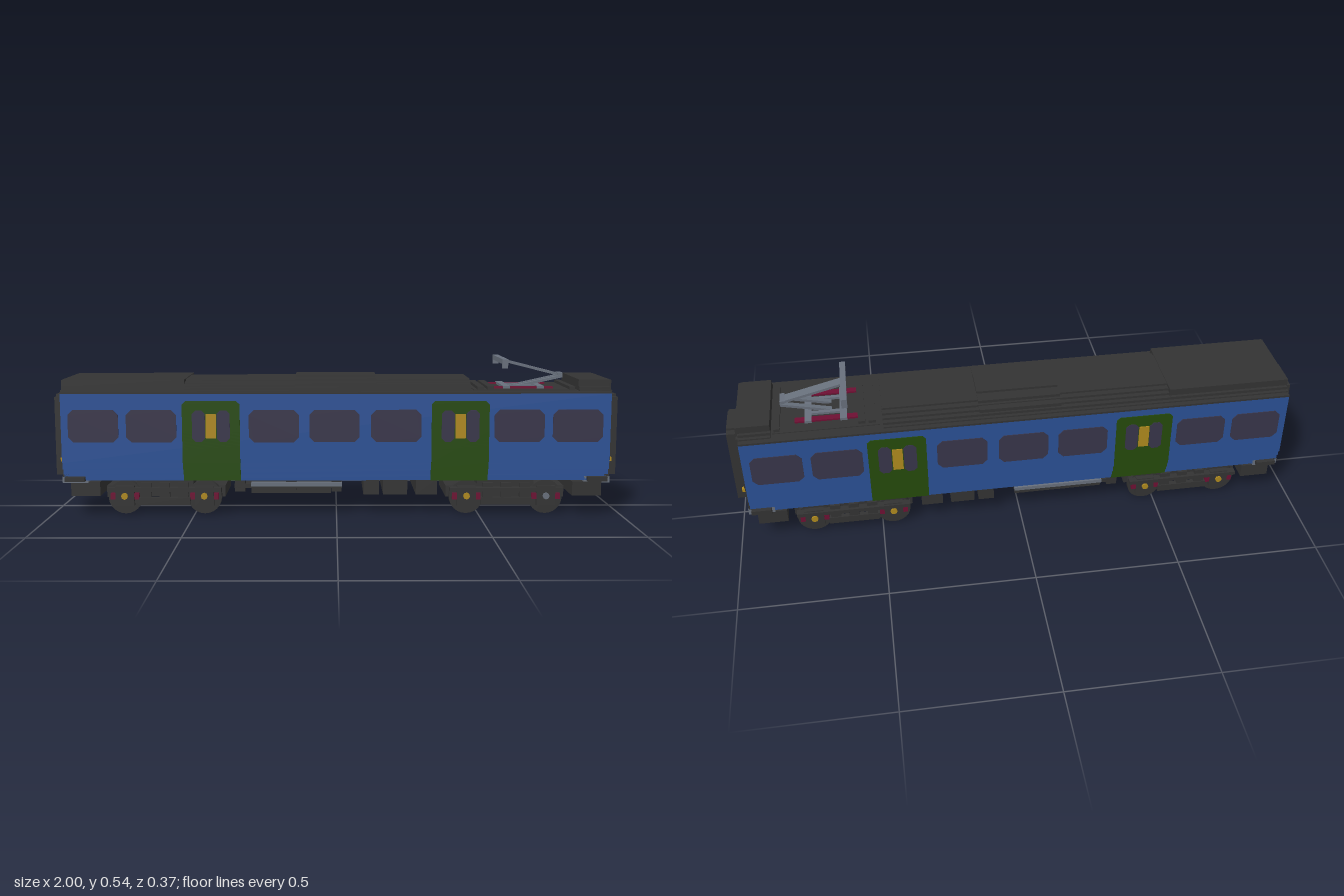
import * as THREE from 'three';

const mat = (name, color) => {
  const m = new THREE.MeshStandardMaterial({ color });
  m.name = name;
  return m;
};

export function createModel() {
  const blue = mat('blue', 0x2b5196), dark = mat('charcoal', 0x333333), green = mat('green', 0x254a0c);
  const glass = mat('glass', 0x38354a), yellow = mat('yellow', 0xb08a1e), grey = mat('grey', 0x68707c);
  const red = mat('red', 0x6e1033);
  const model = new THREE.Group();
  model.name = 'railCar';

  const add = (name, geo, m, x = 0, y = 0, z = 0, parent = model) => {
    const mesh = new THREE.Mesh(geo, m);
    mesh.name = name;
    mesh.position.set(x, y, z);
    parent.add(mesh);
    return mesh;
  };
  // Box given by its limits
  const box = (name, m, x0, x1, y0, y1, z0, z1, parent) =>
    add(name, new THREE.BoxGeometry(x1 - x0, y1 - y0, z1 - z0), m,
      (x0 + x1) / 2, (y0 + y1) / 2, (z0 + z1) / 2, parent);
  // The same box on both sides of the car
  const pair = (name, m, x0, x1, y0, y1, z0, z1, parent) => {
    box(name, m, x0, x1, y0, y1, z0, z1, parent);
    box(name, m, x0, x1, y0, y1, -z1, -z0, parent);
  };
  // Mirrored (halfWidth, y) profile extruded along x
  const hull = (name, m, half, x0, x1) => {
    const pts = [...half, ...half.map(([w, y]) => [-w, y]).reverse()];
    const geo = new THREE.ExtrudeGeometry(new THREE.Shape(pts.map(p => new THREE.Vector2(...p))),
      { depth: x1 - x0, bevelEnabled: false });
    geo.rotateY(Math.PI / 2);
    return add(name, geo, m, x0);
  };
  // Thin plate with cut corners
  const plate = (w, h, c, d) => {
    const a = w / 2, b = h / 2;
    const pts = [[-a + c, -b], [a - c, -b], [a, -b + c], [a, b - c], [a - c, b], [-a + c, b], [-a, b - c], [-a, -b + c]];
    const geo = new THREE.ExtrudeGeometry(new THREE.Shape(pts.map(p => new THREE.Vector2(...p))),
      { depth: d, bevelEnabled: false });
    return geo.translate(0, 0, -d / 2);
  };
  // Square bar between two points in the xy plane
  const bar = (name, m, x0, y0, x1, y1, z, t, w, parent) => {
    const b = add(name, new THREE.BoxGeometry(Math.hypot(x1 - x0, y1 - y0), t, w), m,
      (x0 + x1) / 2, (y0 + y1) / 2, z, parent);
    b.rotation.z = Math.atan2(y1 - y0, x1 - x0);
  };

  // Body shell with stepped lower sides
  const sides = (o, top) => [[0.153 + o, 0.122], [0.153 + o, 0.145], [0.163 + o, 0.145], [0.163 + o, 0.165],
    [0.171 + o, 0.165], [0.171 + o, 0.188], [0.178 + o, 0.188], [0.178 + o, top]];
  hull('body', blue, sides(0, 0.431), -0.955, 0.952);

  // Roof
  box('roofEdge', dark, -0.955, 0.952, 0.43, 0.437, -0.179, 0.179);
  const roof = [[0.16, 0.435], [0.16, 0.442], [0.148, 0.442], [0.148, 0.451], [0.132, 0.451], [0.132, 0.459],
    [0.115, 0.459], [0.115, 0.467], [0.094, 0.467], [0.094, 0.474]];
  hull('roof', dark, roof, -0.955, 0.47);
  const endRoof = [[0.16, 0.435], [0.16, 0.442], [0.148, 0.442], [0.148, 0.452], [0.137, 0.452], [0.137, 0.476]];
  hull('endRoof', dark, endRoof, -0.955, -0.53);
  hull('endRoof', dark, endRoof, 0.845, 0.952);
  hull('centreRoof', dark, [[0.14, 0.44], [0.14, 0.463], [0.105, 0.463], [0.105, 0.477], [0.06, 0.477], [0.06, 0.485]], -0.145, 0.14);

  // Windows and doors
  for (const x of [-0.843, -0.642, -0.217, -0.007, 0.207, 0.635, 0.838])
    for (const s of [-1, 1]) add('window', plate(0.174, 0.113, 0.018, 0.006), glass, x, 0.318, s * 0.178);
  for (const x of [-0.435, 0.43]) {
    hull('doorLower', green, sides(0.003, 0.3), x - 0.1, x + 0.1);
    for (const s of [-1, 1]) {
      add('doorUpper', plate(0.2, 0.17, 0.012, 0.006), green, x, 0.32, s * 0.178);
      for (const d of [-1, 1]) add('doorWindow', plate(0.045, 0.11, 0.012, 0.006), glass, x + d * 0.043, 0.318, s * 0.18);
      add('doorPanel', plate(0.036, 0.085, 0.001, 0.006), yellow, x, 0.318, s * 0.182);
    }
  }

  // Ends with gangway, lamps and buffer beam
  for (const s of [-1, 1]) {
    const end = new THREE.Group();
    end.name = 'carEnd';
    model.add(end);
    if (s < 0) end.rotation.y = Math.PI;
    box('endWall', dark, 0.94, 0.959, 0.135, 0.44, -0.153, 0.153, end);
    box('endWallTop', dark, 0.94, 0.959, 0.435, 0.474, -0.136, 0.136, end);
    box('bufferBeam', grey, 0.87, 0.961, 0.113, 0.136, -0.153, 0.153, end);
    pair('step', dark, 0.88, 0.95, 0.12, 0.136, 0.15, 0.169, end);
    pair('gangwayPost', dark, 0.955, 1, 0.13, 0.408, 0.05, 0.076, end);
    box('gangwayTop', dark, 0.955, 1, 0.385, 0.416, -0.051, 0.051, end);
    box('gangwaySill', dark, 0.955, 1, 0.13, 0.17, -0.051, 0.051, end);
    box('gangwayDoor', dark, 0.955, 0.988, 0.165, 0.39, -0.052, 0.052, end);
    pair('endBox', dark, 0.955, 0.965, 0.308, 0.34, 0.095, 0.12, end);
    pair('handrail', dark, 0.955, 0.968, 0.17, 0.272, 0.103, 0.111, end);
    pair('lamp', yellow, 0.955, 0.975, 0.184, 0.197, 0.1, 0.114, end);
    box('endEquipment', dark, 0.83, 0.932, 0.066, 0.116, -0.153, 0.153, end);
  }

  // Bogies
  const wheelGeo = new THREE.CylinderGeometry(0.06, 0.06, 0.022, 24).rotateX(Math.PI / 2);
  const axleGeo = new THREE.CylinderGeometry(0.02, 0.02, 0.28, 12).rotateX(Math.PI / 2);
  const hubGeo = new THREE.CylinderGeometry(0.012, 0.012, 0.01, 8).rotateX(Math.PI / 2);
  for (const x of [-0.605, 0.598]) {
    const bogie = new THREE.Group();
    bogie.name = 'bogie';
    bogie.position.x = x;
    model.add(bogie);
    for (const dx of [-0.14, 0.14]) {
      add('axle', axleGeo, dark, dx, 0.06, 0, bogie);
      for (const s of [-1, 1]) {
        add('wheel', wheelGeo, dark, dx, 0.06, s * 0.124, bogie);
        add('axleCap', hubGeo, x > 0 && dx > 0 && s > 0 ? grey : yellow, dx, 0.066, s * 0.155, bogie);
      }
      pair('axleBox', dark, dx - 0.033, dx + 0.033, 0.03, 0.1, 0.135, 0.153, bogie);
      pair('axleSpring', red, dx - 0.05, dx + 0.05, 0.053, 0.075, 0.137, 0.151, bogie);
    }
    pair('sideFrame', dark, -0.2, 0.2, 0.082, 0.096, 0.135, 0.16, bogie);
    pair('sideBeam', dark, -0.09, 0.09, 0.034, 0.06, 0.135, 0.153, bogie);
    for (const dx of [-0.065, 0, 0.065]) pair('spring', dark, dx - 0.018, dx + 0.018, 0.05, 0.112, 0.137, 0.15, bogie);
    box('bolster', dark, -0.21, 0.21, 0.055, 0.095, -0.11, 0.11, bogie);
    pair('bogieMount', dark, -0.1, 0.1, 0.09, 0.125, 0.045, 0.13, bogie);
  }

  // Underfloor equipment
  box('tray', dark, -0.3, -0.02, 0.072, 0.1, -0.13, 0.13);
  pair('trayRail', grey, -0.3, 0.02, 0.1, 0.113, 0.125, 0.15);
  box('trayRidge', dark, -0.36, 0.02, 0.092, 0.106, -0.14, 0.14);
  for (const x of [-0.34, -0.16, 0]) pair('hanger', dark, x - 0.018, x + 0.018, 0.08, 0.125, 0.1, 0.14);
  for (const [x0, x1] of [[0.095, 0.15], [0.165, 0.25], [0.28, 0.355]])
    box('underfloorBox', dark, x0, x1, 0.068, 0.125, -0.14, 0.14);

  // Pantograph
  const panto = new THREE.Group();
  panto.name = 'pantograph';
  model.add(panto);
  box('wellFloor', dark, 0.48, 0.84, 0.434, 0.44, -0.137, 0.137, panto);
  for (const x of [0.505, 0.54]) box('roofConduit', dark, x - 0.012, x + 0.012, 0.436, 0.45, -0.125, 0.125, panto);
  box('roofConduit', dark, 0.815, 0.835, 0.436, 0.45, -0.13, 0.13, panto);
  pair('insulator', red, 0.55, 0.765, 0.438, 0.446, 0.065, 0.09, panto);
  for (const x of [0.6, 0.72]) box('baseBar', grey, x - 0.012, x + 0.012, 0.44, 0.449, -0.095, 0.095, panto);
  pair('baseRail', grey, 0.6, 0.72, 0.44, 0.448, 0.035, 0.05, panto);
  for (const z of [-0.022, 0.022]) bar('lowerArm', grey, 0.64, 0.44, 0.81, 0.478, z, 0.009, 0.018, panto);
  box('elbow', grey, 0.795, 0.812, 0.472, 0.49, -0.026, 0.026, panto);
  bar('upperArm', grey, 0.81, 0.48, 0.59, 0.536, 0, 0.009, 0.04, panto);
  box('contactBar', grey, 0.582, 0.602, 0.527, 0.544, -0.127, 0.111, panto);
  for (const [z0, z1] of [[-0.127, -0.114], [0.098, 0.111]]) box('contactHorn', grey, 0.582, 0.602, 0.511, 0.53, z0, z1, panto);
  return model;
}
